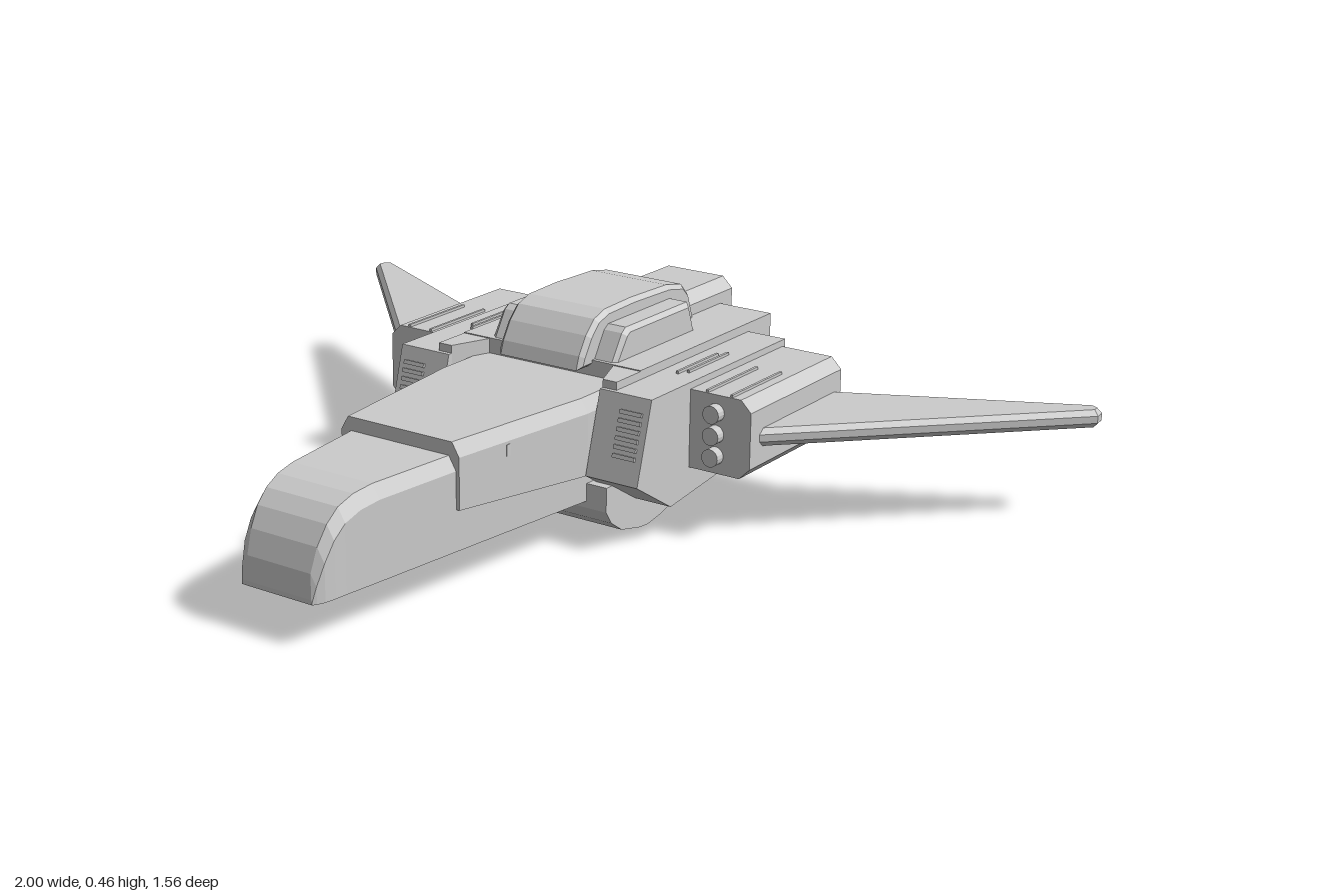
import * as THREE from 'three';

export function createModel() {
  const model = new THREE.Group();
  const grey = new THREE.MeshStandardMaterial({ color: 0xcccccc, flatShading: true });

  const add = (name, geo) => {
    const mesh = new THREE.Mesh(geo, grey);
    mesh.name = name;
    model.add(mesh);
  };

  // Reflect a geometry across x = 0 and restore the winding
  const mirrored = (geo) => {
    const g = geo.index ? geo.toNonIndexed() : geo.clone();
    const p = g.attributes.position;
    for (let i = 0; i < p.count; i += 3) {
      const [a, b, c] = [0, 1, 2].map((k) => [-p.getX(i + k), p.getY(i + k), p.getZ(i + k)]);
      p.setXYZ(i, ...a);
      p.setXYZ(i + 1, ...c);
      p.setXYZ(i + 2, ...b);
    }
    g.computeVertexNormals();
    return g;
  };
  const pair = (name, geo) => {
    add('left' + name, geo);
    add('right' + name, mirrored(geo));
  };

  const outline = (pts) => new THREE.Shape(pts.map(([x, y]) => new THREE.Vector2(x, y)));
  const extrude = (shape, depth, extra = {}) =>
    new THREE.ExtrudeGeometry(shape, { depth, bevelEnabled: false, ...extra });

  // Side profile of [z, y] points, spanning x0..x1
  const profile = (pts, x0, x1, extra) =>
    extrude(outline(pts), x1 - x0, extra).rotateY(-Math.PI / 2).translate(x1, 0, 0);

  // Plan outline of [x, z] points, rising from y0
  const plan = (pts, y0, height, extra) =>
    extrude(outline(pts.map(([x, z]) => [x, -z])), height, extra).rotateX(-Math.PI / 2).translate(0, y0, 0);

  const box = (w, h, d, x, y, z) => new THREE.BoxGeometry(w, h, d).translate(x, y, z);

  // Rectangle with separate chamfers on its inner and outer corners
  const section = (x0, x1, y0, y1, inner, outer) => [
    [x0 + inner, y0], [x1 - outer, y0], [x1, y0 + outer], [x1, y1 - outer],
    [x1 - outer, y1], [x0 + inner, y1], [x0, y1 - inner], [x0, y0 + inner],
  ].filter((p, i, all) => {
    const q = all[(i + 1) % all.length];
    return Math.hypot(p[0] - q[0], p[1] - q[1]) > 1e-5;
  });

  // Block with a hollow exhaust at its rear: a solid part and an open frame
  const exhaust = (put, name, [x0, x1, y0, y1], z0, z1, wall, recess, inner = 0, outer = 0) => {
    const pts = section(x0, x1, y0, y1, inner, outer);
    put(name + 'Block', extrude(outline(pts), z0 - z1 - recess).translate(0, 0, z1 + recess));
    const frame = outline(pts);
    frame.holes.push(outline(section(x0 + wall, x1 - wall, y0 + wall, y1 - wall, inner * 0.6, outer * 0.6)));
    put(name + 'Rim', extrude(frame, recess).translate(0, 0, z1));
  };

  // Skin over rings listed from front to back, each [z, halfWidth, bottom, top]
  const hull = (rings) => {
    const pos = [], idx = [], n = 6;
    for (const [z, w, lo, hi] of rings) {
      const c = Math.min(0.03, (hi - lo) * 0.4);
      const t = w - c * 0.6;
      pos.push(-w, lo, z, w, lo, z, w, hi - c, z, t, hi, z, -t, hi, z, -w, hi - c, z);
    }
    for (let r = 0; r < rings.length - 1; r++) {
      for (let j = 0; j < n; j++) {
        const a = r * n + j, b = r * n + (j + 1) % n;
        idx.push(a, a + n, b, a + n, b + n, b);
      }
    }
    const e = (rings.length - 1) * n;
    for (let j = 1; j < n - 1; j++) idx.push(0, j, j + 1, e, e + j + 1, e + j);
    const g = new THREE.BufferGeometry();
    g.setAttribute('position', new THREE.Float32BufferAttribute(pos, 3));
    g.setIndex(idx);
    g.computeVertexNormals();
    return g;
  };

  // Nose with a rounded tip, and the raised collar behind it
  add('nose', hull([
    [0.78, 0.09, 0.09, 0.1], [0.772, 0.095, 0.09, 0.15], [0.755, 0.102, 0.09, 0.2],
    [0.73, 0.106, 0.09, 0.24], [0.7, 0.109, 0.09, 0.267], [0.66, 0.114, 0.09, 0.283],
    [0.61, 0.12, 0.09, 0.29], [0.4, 0.144, 0.09, 0.292], [0, 0.19, 0.09, 0.3], [-0.13, 0.19, 0.09, 0.3],
  ]));
  add('noseCollar', hull([[0.4, 0.152, 0.18, 0.322], [0.02, 0.198, 0.152, 0.32], [-0.13, 0.198, 0.152, 0.32]]));
  pair('CollarHatch', box(0.012, 0.025, 0.04, 0.164, 0.272, 0.245));

  // Central body and belly
  add('body', box(0.47, 0.245, 0.45, 0, 0.2325, -0.345));
  pair('Cheek', plan([[0.2, -0.03], [0.165, -0.12], [0.165, -0.18], [0.235, -0.18], [0.235, -0.03]], 0.15, 0.203));
  add('belly', profile([
    [0.01, 0.13], [0.01, 0.075], [-0.01, 0.045], [-0.05, 0.018], [-0.12, 0.002], [-0.15, 0],
    [-0.2, 0.008], [-0.36, 0.055], [-0.36, 0.13],
  ].reverse(), -0.24, 0.24));

  // Canopy with lower side fairings
  add('canopy', profile([
    [-0.075, 0.34], [-0.085, 0.37], [-0.11, 0.41], [-0.14, 0.44], [-0.18, 0.453], [-0.28, 0.456],
    [-0.42, 0.452], [-0.48, 0.44], [-0.505, 0.415], [-0.525, 0.36], [-0.525, 0.34],
  ], -0.1, 0.1, { bevelEnabled: true, bevelSegments: 1, bevelSize: 0.01, bevelThickness: 0.01, bevelOffset: -0.01 }));
  pair('CanopyFairing', profile([
    [-0.12, 0.34], [-0.165, 0.412], [-0.18, 0.422], [-0.42, 0.422], [-0.445, 0.35], [-0.445, 0.34],
  ], 0.08, 0.155, { bevelEnabled: true, bevelSegments: 1, bevelSize: 0.01, bevelThickness: 0.01, bevelOffset: -0.01 }));

  // Main exhausts
  const c = 0.025;
  const engine = [[-0.1, 0.11], [0.1, 0.11], [0.1, 0.38], [0.1 - c, 0.405], [-0.1 + c, 0.405], [-0.1, 0.38]];
  add('centreEngine', extrude(outline(engine), 0.2).translate(0, 0, -0.66));
  const rim = outline(engine);
  rim.holes.push(outline([[-0.075, 0.14], [0.075, 0.14], [0.075, 0.365], [0.06, 0.38], [-0.06, 0.38], [-0.075, 0.365]]));
  add('centreEngineRim', extrude(rim, 0.04).translate(0, 0, -0.7));
  exhaust(pair, 'InnerExhaust', [0.1, 0.235, 0.13, 0.355], -0.5, -0.65, 0.02, 0.05);

  // Intake housings with sloping louvred fronts
  pair('Intake', profile([
    [0.03, 0.155], [-0.02, 0.335], [-0.5, 0.335], [-0.5, 0.125], [-0.36, 0.105], [-0.1, 0.075],
  ], 0.2, 0.33));
  exhaust(pair, 'IntakeExhaust', [0.235, 0.33, 0.13, 0.335], -0.45, -0.555, 0.018, 0.04);
  const slope = -Math.atan2(0.05, 0.18);
  for (let i = 0; i < 6; i++) {
    const y = 0.21 + i * 0.018;
    pair('Louvre' + (i + 1), new THREE.BoxGeometry(0.055, 0.009, 0.012).rotateX(slope)
      .translate(0.287, y, 0.03 - (y - 0.155) * 0.05 / 0.18));
  }

  // Outer pods with three round ports
  exhaust(pair, 'Pod', [0.32, 0.48, 0.145, 0.32], -0.168, -0.545, 0.02, 0.035, 0, 0.025);
  for (const y of [0.185, 0.233, 0.281]) {
    pair('PodPort', new THREE.CylinderGeometry(0.02, 0.02, 0.04, 16).rotateX(Math.PI / 2).translate(0.395, y, -0.165));
  }

  // Thin ridges along the upper surfaces
  for (const [x, y, z, len] of [[0.275, 0.335, -0.28, 0.16], [0.29, 0.335, -0.3, 0.16], [0.37, 0.32, -0.27, 0.2], [0.43, 0.32, -0.27, 0.2]]) {
    pair('Ridge', box(0.006, 0.012, len, x, y, z));
  }

  // Swept wings with chamfered edges
  pair('Wing', plan([
    [0.45, -0.18], [0.48, -0.205], [1, -0.74], [0.998, -0.765], [0.975, -0.78], [0.48, -0.53], [0.45, -0.515],
  ], 0.222, 0.016, { bevelEnabled: true, bevelSegments: 1, bevelSize: 0.01, bevelThickness: 0.012, bevelOffset: -0.01 }));

  return model;
}
